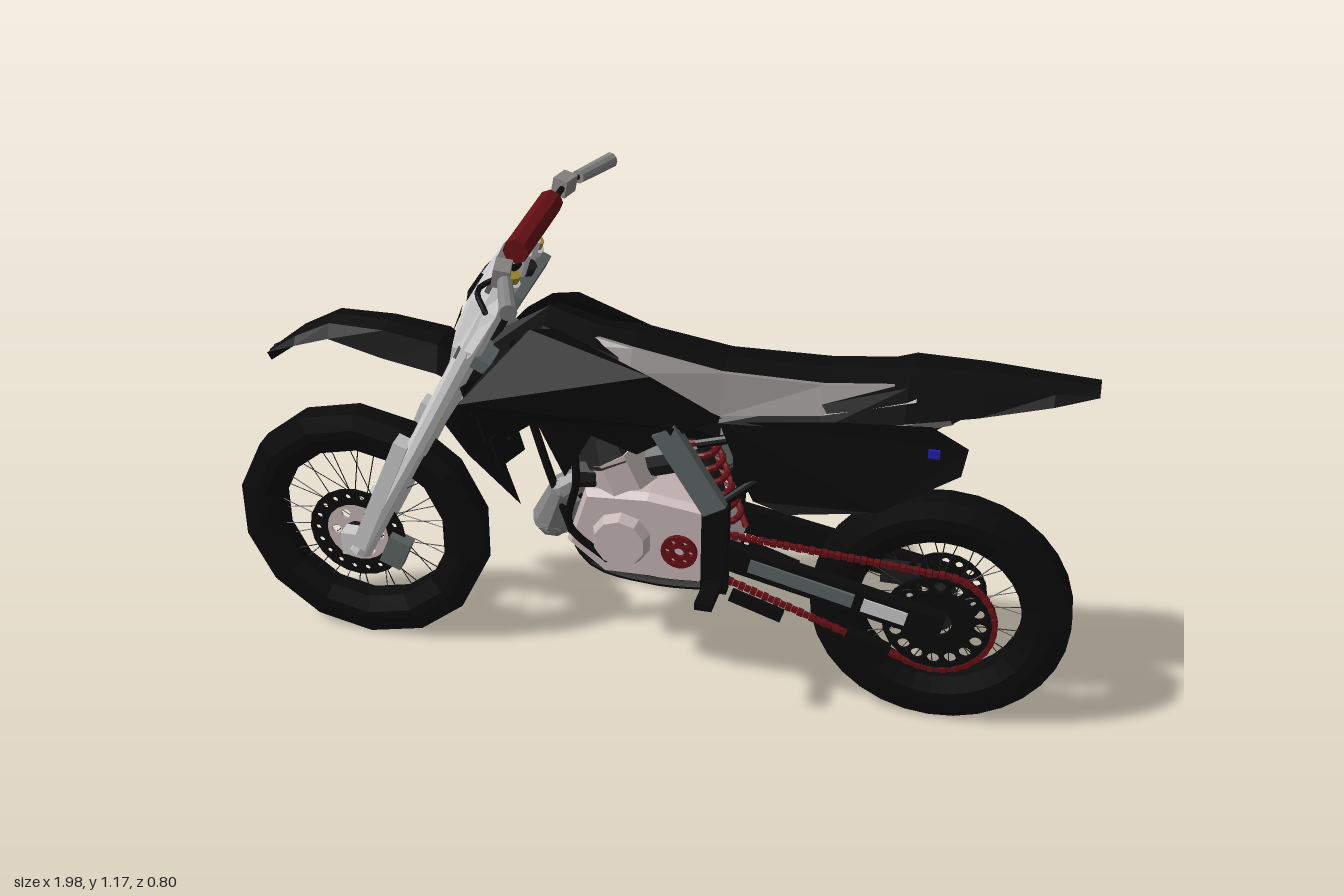
import * as THREE from 'three';

const V = (p) => new THREE.Vector3(...p);
const mat = (color) => new THREE.MeshStandardMaterial({ color, flatShading: true, side: THREE.DoubleSide });
const black = mat(0x0a0a0a), dark = mat(0x1c1c1c), grey = mat(0xcccccc), seatGrey = mat(0x8a8484), pipeGrey = mat(0x858585),
  cast = mat(0xc4b4b4), red = mat(0x651015), frameGrey = mat(0x5c6462), gold = mat(0xa08a30), blue = mat(0x2020b0);

function add(parent, name, geometry, material, pos = [0, 0, 0]) {
  const m = new THREE.Mesh(geometry, material);
  m.name = name;
  m.position.set(...pos);
  parent.add(m);
  return m;
}
// geometry built along y, placed between two points
function span(parent, name, geo, material, a, b) {
  const m = add(parent, name, geo, material);
  m.position.copy(V(a)).lerp(V(b), 0.5);
  m.quaternion.setFromUnitVectors(new THREE.Vector3(0, 1, 0), V(b).sub(V(a)).normalize());
  return m;
}
const dist = (a, b) => V(a).distanceTo(V(b));
const bar = (g, name, material, a, b, r, rTop = r, n = 10) =>
  span(g, name, new THREE.CylinderGeometry(rTop, r, dist(a, b), n), material, a, b);
const beam = (g, name, material, a, b, w, d) =>
  span(g, name, new THREE.BoxGeometry(w, dist(a, b), d), material, a, b);
const tube = (g, name, material, pts, r, n = 24) =>
  add(g, name, new THREE.TubeGeometry(new THREE.CatmullRomCurve3(pts.map(V)), n, r, 8), material);
const both = (fn) => [1, -1].forEach(fn);

function surface(points, index) {
  const geo = new THREE.BufferGeometry();
  geo.setAttribute('position', new THREE.Float32BufferAttribute(points.flat(), 3));
  geo.setIndex(index);
  const flat = geo.toNonIndexed();
  flat.computeVertexNormals();
  return flat;
}
// skin through half-sections (first point on the centre line), mirrored in z
function loft(g, name, material, rows) {
  const full = rows.map((r) => [...r.slice(1).reverse().map(([x, y, z]) => [x, y, -z]), ...r]);
  const n = full[0].length, index = [];
  for (let i = 0; i < full.length - 1; i++) for (let j = 0; j < n - 1; j++) {
    const a = i * n + j;
    index.push(a, a + 1, a + n, a + 1, a + n + 1, a + n);
  }
  return add(g, name, surface(full.flat(), index), material);
}
// bent sheet with an outline in x/y, one on each side
function sidePanels(g, name, material, outline) {
  const faces = THREE.ShapeUtils.triangulateShape(outline.map(([x, y]) => new THREE.Vector2(x, y)), []);
  const geo = surface(outline, faces.flat());
  both((s) => { add(g, name, geo, material).scale.z = s; });
}
// flat disc with a hole pattern
function disc(g, name, material, r, depth, hole, ringR, holeR, count, pos) {
  const s = new THREE.Shape().absarc(0, 0, r, 0, Math.PI * 2);
  const cut = (x, y, q) => s.holes.push(new THREE.Path().absarc(x, y, q, 0, Math.PI * 2, true));
  cut(0, 0, hole);
  for (let i = 0; i < count; i++) {
    const a = i / count * Math.PI * 2;
    cut(Math.cos(a) * ringR, Math.sin(a) * ringR, holeR);
  }
  return add(g, name, new THREE.ExtrudeGeometry(s, { depth, bevelEnabled: false, curveSegments: 10 }), material, pos);
}

function wheel(name, x, y, R, inner, sides) {
  const g = new THREE.Group();
  g.name = name;
  g.position.set(x, y, 0);
  const prof = [[inner, -0.022], [inner + 0.04, -0.036], [R - 0.04, -0.036], [R, -0.026], [R, 0.026], [R - 0.04, 0.036],
    [inner + 0.04, 0.036], [inner, 0.022], [inner, -0.022]].map((p) => new THREE.Vector2(...p));
  add(g, 'tyre', new THREE.LatheGeometry(prof, sides).rotateX(Math.PI / 2), black);
  bar(g, 'hub', dark, [0, 0, -0.05], [0, 0, 0.05], 0.035, 0.035, 14);
  bar(g, 'axle', grey, [0, 0, -0.1], [0, 0, 0.1], 0.012);
  for (let i = 0; i < 36; i++) {
    const a = i / 36 * Math.PI * 2, b = a + (i % 4 < 2 ? 0.5 : -0.5), z = i % 2 ? 0.035 : -0.035;
    bar(g, 'spoke', dark, [Math.cos(b) * 0.034, Math.sin(b) * 0.034, z],
      [Math.cos(a) * (inner + 0.01), Math.sin(a) * (inner + 0.01), z * 0.2], 0.0013, 0.0013, 4);
  }
  return g;
}

export function createModel() {
  const bike = new THREE.Group();
  bike.name = 'dirtBike';

  // wheels, brake discs and rear sprocket
  const front = wheel('frontWheel', -0.68, 0.32, 0.312, 0.21, 14);
  disc(front, 'brakeDisc', black, 0.12, 0.006, 0.078, 0.1, 0.007, 18, [0, 0, 0.05]);
  disc(front, 'discCarrier', cast, 0.08, 0.006, 0.03, 0.055, 0.012, 6, [0, 0, 0.046]);
  add(front, 'brakeCaliper', new THREE.BoxGeometry(0.055, 0.08, 0.035), frameGrey, [0.1, -0.03, 0.06]).rotation.z = -0.4;
  const rear = wheel('rearWheel', 0.705, 0.31, 0.295, 0.185, 32);
  disc(rear, 'sprocket', black, 0.124, 0.008, 0.035, 0.098, 0.014, 16, [0, 0, 0.062]);
  disc(rear, 'brakeDisc', black, 0.1, 0.006, 0.05, 0.08, 0.009, 16, [0, 0, -0.068]);
  add(rear, 'brakeCaliper', new THREE.BoxGeometry(0.09, 0.05, 0.035), dark, [-0.1, 0.03, -0.07]);
  bike.add(front, rear);

  // front fork, triple clamps and handlebar
  const fork = new THREE.Group();
  fork.name = 'frontFork';
  bike.add(fork);
  both((s) => {
    const z = 0.088 * s;
    bar(fork, 'forkLower', grey, [-0.66, 0.3, z], [-0.49, 0.62, z], 0.03, 0.022);
    bar(fork, 'forkUpper', grey, [-0.5, 0.6, z], [-0.265, 1.06, z], 0.026, 0.03);
    bar(fork, 'forkCap', gold, [-0.265, 1.06, z], [-0.26, 1.075, z], 0.024);
    beam(fork, 'forkGuard', grey, [-0.655, 0.32, z * 1.08], [-0.53, 0.62, z * 1.08], 0.035, 0.045);
    add(fork, 'axleLug', new THREE.BoxGeometry(0.06, 0.06, 0.04), grey, [-0.67, 0.32, z]);
    tube(fork, 'handlebar', black, [[-0.25, 1.08, 0], [-0.25, 1.085, 0.08 * s], [-0.23, 1.145, 0.19 * s],
      [-0.21, 1.148, 0.28 * s], [-0.165, 1.145, 0.39 * s]], 0.007);
    bar(fork, 'grip', pipeGrey, [-0.21, 1.148, 0.275 * s], [-0.165, 1.145, 0.395 * s], 0.016, 0.018);
    tube(fork, 'lever', black, [[-0.23, 1.14, 0.23 * s], [-0.265, 1.13, 0.28 * s], [-0.225, 1.12, 0.36 * s]], 0.006, 8);
    beam(fork, 'leverPerch', seatGrey, [-0.235, 1.148, 0.205 * s], [-0.225, 1.145, 0.26 * s], 0.035, 0.04);
    bar(fork, 'barClamp', grey, [-0.26, 1.05, 0.035 * s], [-0.245, 1.1, 0.035 * s], 0.018);
  });
  [[-0.29, 1.03], [-0.37, 0.86]].forEach(([x, y]) => {
    add(fork, 'tripleClamp', new THREE.BoxGeometry(0.08, 0.03, 0.22), frameGrey, [x + 0.02, y, 0]).rotation.z = -0.46;
  });
  bar(fork, 'steeringStem', dark, [-0.36, 0.84, 0], [-0.25, 1.06, 0], 0.025);
  bar(fork, 'barPad', red, [-0.232, 1.148, -0.132], [-0.232, 1.148, 0.132], 0.028, 0.028, 8);
  loft(fork, 'numberPlate', grey, [
    [[-0.3, 1.1, 0], [-0.3, 1.09, 0.06], [-0.26, 1.07, 0.11]],
    [[-0.37, 1.0, 0], [-0.35, 1.0, 0.09], [-0.28, 0.99, 0.134]],
    [[-0.42, 0.88, 0], [-0.4, 0.88, 0.09], [-0.34, 0.89, 0.13]],
    [[-0.43, 0.82, 0], [-0.42, 0.82, 0.06], [-0.38, 0.84, 0.1]]]);
  sidePanels(fork, 'plateMark', black, [[-0.352, 1.03, 0.015], [-0.329, 1.05, 0.06], [-0.368, 0.985, 0.07], [-0.378, 0.99, 0.03]]);
  sidePanels(fork, 'plateMark', black, [[-0.395, 0.95, 0.02], [-0.383, 0.95, 0.07], [-0.417, 0.88, 0.05]]);

  // front fender
  loft(bike, 'frontFender', black, [
    [-0.88, 0.765, 0.765, 0.02], [-0.8, 0.83, 0.805, 0.045], [-0.71, 0.878, 0.84, 0.055], [-0.58, 0.878, 0.81, 0.06],
    [-0.45, 0.86, 0.79, 0.065], [-0.35, 0.79, 0.73, 0.05]].map(([x, t, b, w]) =>
    [[x, t, 0], [x, t - 0.006, w * 0.7], [x, b, w], [x, t - 0.03, 0]]));

  // tank, seat and rear fender
  loft(bike, 'tank', black, [
    [-0.33, 0.88, 0.78, 0.05], [-0.2, 0.962, 0.72, 0.1], [-0.08, 0.925, 0.7, 0.11], [0.05, 0.88, 0.7, 0.1],
    [0.2, 0.82, 0.75, 0.07]].map(([x, t, b, w]) => [[x, t, 0], [x, t - 0.02, w * 0.6], [x, t - 0.1, w], [x, b, w * 0.7], [x, b, 0]]));
  const seat = [[-0.1, 0.925, 0.9, 0.05], [0, 0.917, 0.86, 0.08], [0.2, 0.885, 0.785, 0.085], [0.42, 0.888, 0.82, 0.09],
    [0.62, 0.912, 0.88, 0.09]];
  loft(bike, 'seatSides', seatGrey, seat.map(([x, t, b, w]) => [[x, t - 0.005, 0], [x, t - 0.008, w * 0.7], [x, b, w], [x, b, 0]]));
  loft(bike, 'seatTop', black, seat.map(([x, t, , w]) => [[x, t + 0.003, 0], [x, t - 0.003, w * 0.68]]));
  loft(bike, 'rearFender', black, [
    [0.2, 0.79, 0.77, 0.09], [0.42, 0.85, 0.79, 0.1], [0.6, 0.915, 0.83, 0.1], [0.75, 0.923, 0.855, 0.08], [0.9, 0.923, 0.89, 0.06],
    [0.99, 0.922, 0.915, 0.04]].map(([x, t, b, w]) => [[x, t, 0], [x, t - 0.008, w * 0.8], [x, b, w], [x, t - 0.025, 0]]));

  // radiator shrouds with their pointed wings, radiators and louvres behind
  sidePanels(bike, 'radiatorShroud', black, [[-0.22, 0.945, 0.09], [-0.3, 0.87, 0.15], [-0.355, 0.8, 0.2], [-0.39, 0.74, 0.19],
    [-0.34, 0.67, 0.19], [-0.235, 0.53, 0.15], [-0.28, 0.69, 0.16], [-0.2, 0.74, 0.13], [-0.14, 0.6, 0.12], [-0.08, 0.71, 0.11],
    [0.02, 0.67, 0.1], [0.14, 0.745, 0.09], [0.21, 0.775, 0.08], [0.05, 0.87, 0.1], [-0.16, 0.955, 0.09]]);
  both((s) => {
    add(bike, 'radiator', new THREE.BoxGeometry(0.04, 0.22, 0.11), dark, [-0.26, 0.76, 0.085 * s]).rotation.z = -0.3;
    for (let i = 0; i < 3; i++) {
      beam(bike, 'radiatorLouvre', black, [-0.31 + i * 0.03, 0.8 - i * 0.06, 0.1 * s], [-0.34 + i * 0.03, 0.8 - i * 0.06, 0.185 * s], 0.008, 0.07);
    }
  });

  // rear side panels, lamp accents and air box
  sidePanels(bike, 'sidePanel', black, [[0.2, 0.77, 0.085], [0.25, 0.64, 0.08], [0.28, 0.575, 0.08], [0.36, 0.565, 0.1],
    [0.56, 0.62, 0.13], [0.73, 0.745, 0.14], [0.74, 0.81, 0.135], [0.66, 0.85, 0.13], [0.45, 0.82, 0.11]]);
  both((s) => add(bike, 'panelAccent', new THREE.BoxGeometry(0.025, 0.02, 0.006), blue, [0.67, 0.79, 0.138 * s]));
  add(bike, 'airBox', new THREE.BoxGeometry(0.2, 0.18, 0.13), black, [0.33, 0.7, 0]);

  // frame, footpegs and pedals
  const frame = new THREE.Group();
  frame.name = 'frame';
  bike.add(frame);
  both((s) => {
    beam(frame, 'frameSpar', black, [-0.28, 0.87, 0.04 * s], [0.1, 0.73, 0.09 * s], 0.05, 0.03);
    beam(frame, 'framePlate', frameGrey, [0.08, 0.74, 0.092 * s], [0.2, 0.55, 0.095 * s], 0.06, 0.025);
    beam(frame, 'pivotPlate', black, [0.2, 0.56, 0.09 * s], [0.2, 0.33, 0.09 * s], 0.06, 0.03);
    tube(frame, 'cradle', black, [[-0.28, 0.8, 0.02 * s], [-0.17, 0.48, 0.05 * s], [-0.1, 0.34, 0.06 * s],
      [0.05, 0.315, 0.07 * s], [0.2, 0.33, 0.08 * s]], 0.01);
    bar(frame, 'subframe', black, [0.15, 0.7, 0.07 * s], [0.6, 0.84, 0.07 * s], 0.011);
    bar(frame, 'subframeStay', black, [0.2, 0.55, 0.08 * s], [0.45, 0.78, 0.07 * s], 0.011);
    beam(frame, 'footpeg', black, [0.2, 0.355, 0.1 * s], [0.2, 0.367, 0.215 * s], 0.04, 0.018);
    beam(frame, 'pedal', black, [0.24, 0.33, 0.1 * s], [0.36, 0.29, 0.1 * s], 0.025, 0.02);
  });

  // swingarm, shock and chain
  both((s) => {
    beam(bike, 'swingarm', black, [0.2, 0.43, 0.08 * s], [0.72, 0.32, 0.095 * s], 0.065, 0.03);
    beam(bike, 'swingarmInsert', frameGrey, [0.28, 0.415, 0.088 * s], [0.52, 0.365, 0.098 * s], 0.035, 0.026);
    beam(bike, 'axleBlock', grey, [0.54, 0.358, 0.098 * s], [0.64, 0.337, 0.1 * s], 0.035, 0.022);
  });
  bar(bike, 'shockBody', dark, [0.12, 0.72, 0], [0.22, 0.42, 0], 0.022);
  const coil = Array.from({ length: 57 }, (_, i) => [Math.cos(i * 0.785) * 0.042 + i * 0.0014, -i * 0.0042, Math.sin(i * 0.785) * 0.042]);
  tube(bike, 'shockSpring', red, coil, 0.008, 112).position.set(0.13, 0.69, 0);
  const loop = new THREE.CurvePath(), pts = [];
  for (let i = 0; i <= 16; i++) {
    const a = Math.PI * (0.53 - i / 16 * 1.12);
    pts.push([0.705 + Math.cos(a) * 0.13, 0.31 + Math.sin(a) * 0.13, 0.066]);
  }
  for (let i = 0; i <= 8; i++) {
    const a = Math.PI * (1.41 - i / 8 * 0.88);
    pts.push([0.12 + Math.cos(a) * 0.045, 0.43 + Math.sin(a) * 0.045, 0.066]);
  }
  pts.forEach((p, i) => loop.add(new THREE.LineCurve3(V(p), V(pts[(i + 1) % pts.length]))));
  for (let i = 0; i < 120; i++) {
    const t = loop.getPointAt(i / 120), d = loop.getTangentAt(i / 120);
    add(bike, 'chainLink', new THREE.BoxGeometry(0.013, 0.012, i % 2 ? 0.016 : 0.01), red, t.toArray()).rotation.z = Math.atan2(d.y, d.x);
  }
  disc(bike, 'frontSprocket', red, 0.042, 0.01, 0.012, 0.027, 0.006, 6, [0.12, 0.43, 0.1]);
  beam(bike, 'chainGuide', black, [0.5, 0.235, 0.066], [0.6, 0.2, 0.066], 0.045, 0.03);

  // engine: crankcase outline extruded, cylinder, head, covers
  const caseShape = new THREE.Shape([[-0.14, 0.4], [-0.06, 0.335], [0.16, 0.34], [0.23, 0.42], [0.2, 0.52], [0.04, 0.54],
    [-0.1, 0.53]].map((p) => new THREE.Vector2(...p)));
  add(bike, 'crankcase', new THREE.ExtrudeGeometry(caseShape, { depth: 0.13, bevelSize: 0.012, bevelThickness: 0.018, bevelSegments: 1 }),
    cast, [0, 0, -0.065]);
  bar(bike, 'cylinder', cast, [-0.02, 0.5, 0], [-0.07, 0.61, 0], 0.08, 0.075, 8);
  bar(bike, 'cylinderHead', dark, [-0.068, 0.6, 0], [-0.088, 0.66, 0], 0.078, 0.05, 8);
  bar(bike, 'exhaustFlange', dark, [-0.09, 0.57, 0.03], [-0.14, 0.57, 0.04], 0.04);
  bar(bike, 'ignitionCover', cast, [-0.02, 0.43, 0.07], [-0.02, 0.43, 0.11], 0.075, 0.06, 10);
  bar(bike, 'clutchCover', cast, [0.06, 0.43, -0.07], [0.06, 0.43, -0.125], 0.095, 0.075, 12);
  bar(bike, 'clutchCap', grey, [0.06, 0.43, -0.12], [0.06, 0.43, -0.135], 0.055, 0.05, 12);
  bar(bike, 'carburettor', dark, [0.03, 0.6, 0], [0.15, 0.64, 0], 0.04);
  tube(bike, 'hose', black, [[-0.13, 0.68, 0.08], [-0.12, 0.58, 0.1], [-0.14, 0.45, 0.09], [-0.05, 0.37, 0.09]], 0.009);

  // exhaust: swelling expansion chamber, link pipe and silencer tucked under the side panel
  const path = [[-0.1, 0.56, 0.02, 0.025], [-0.17, 0.51, 0.03, 0.035], [-0.205, 0.41, 0, 0.05], [-0.19, 0.39, -0.08, 0.065],
    [-0.14, 0.44, -0.13, 0.073], [-0.06, 0.51, -0.138, 0.066], [0.05, 0.61, -0.11, 0.035], [0.18, 0.65, -0.085, 0.022], [0.32, 0.645, -0.075, 0.022]];
  for (let i = 0; i < path.length - 1; i++) {
    const a = path[i], b = path[i + 1];
    bar(bike, 'exhaustPipe', pipeGrey, a.slice(0, 3), b.slice(0, 3), a[3], b[3], 9);
    add(bike, 'exhaustJoint', new THREE.IcosahedronGeometry(b[3], 1), pipeGrey, b.slice(0, 3));
  }
  bar(bike, 'silencer', seatGrey, [0.3, 0.64, -0.072], [0.68, 0.765, -0.094], 0.034, 0.034, 8);
  bar(bike, 'silencerTip', dark, [0.68, 0.765, -0.094], [0.725, 0.78, -0.096], 0.032, 0.016, 8);
  return bike;
}
